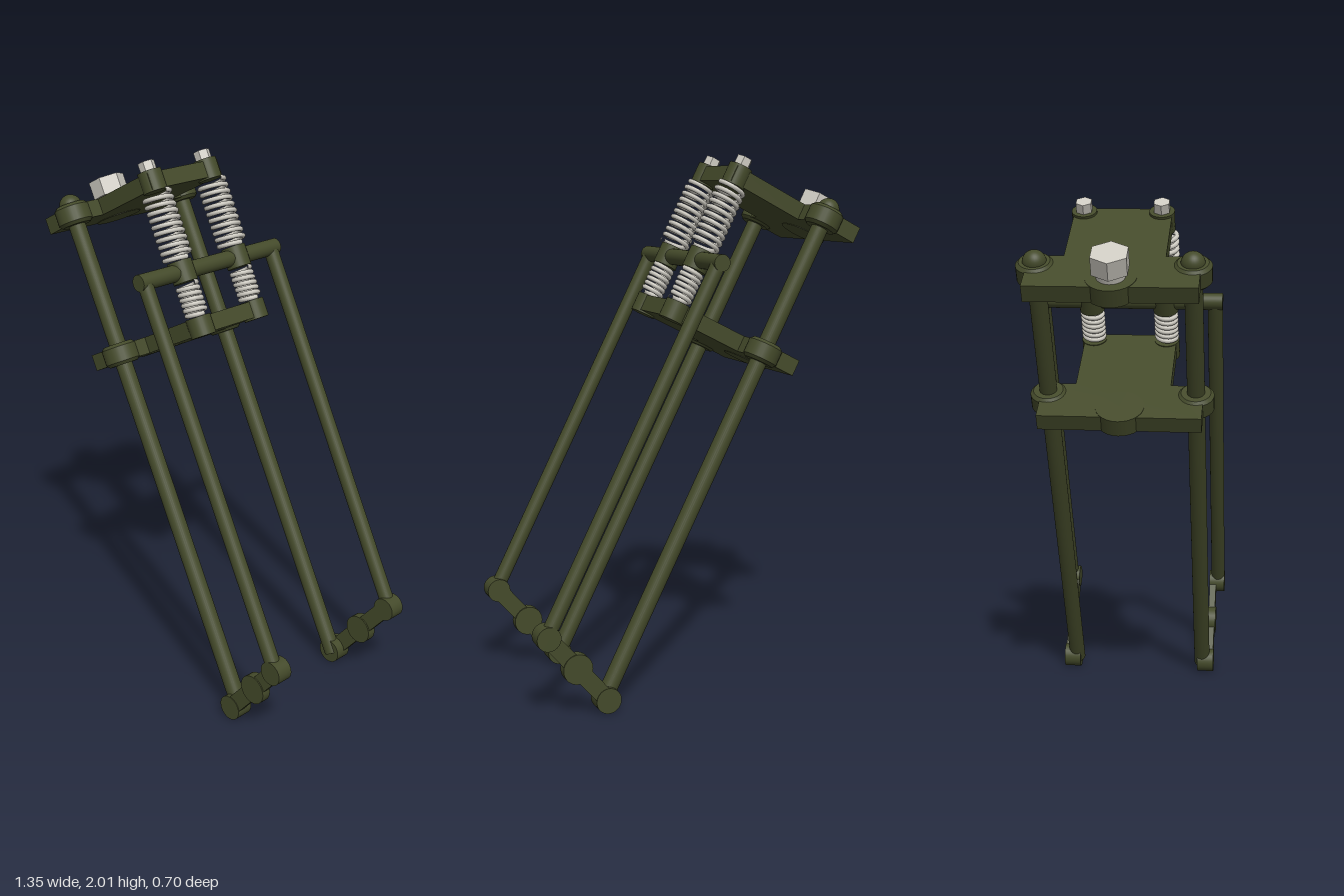
import * as THREE from 'three';

const olive = new THREE.MeshStandardMaterial({ color: 0x444a2a });
olive.name = 'olive paint';
const steel = new THREE.MeshStandardMaterial({ color: 0xcdcac1 });
steel.name = 'bright steel';

// Layout in the fork's own upright frame, before it is raked back
const RAKE = THREE.MathUtils.degToRad(27);
const LEG_Z = 0.268, ROD_Z = 0.322, ROD_X = 0.335, ROD_Y = 0.139;
const SPRING_Z = 0.138, STEM_X = -0.08, BAR_Y = 1.603;
const PLATE = 0.062, TOP_Y = 1.911, LOW_Y = 1.365;

function add(parent, name, geometry, material, x = 0, y = 0, z = 0) {
  const mesh = new THREE.Mesh(geometry, material);
  mesh.name = name;
  mesh.position.set(x, y, z);
  parent.add(mesh);
  return mesh;
}

// Upright cylinder between two heights
function post(parent, name, r, y0, y1, x, z, material = olive, sides = 28) {
  return add(parent, name, new THREE.CylinderGeometry(r, r, y1 - y0, sides), material, x, (y0 + y1) / 2, z);
}

// Cylinder lying along z
function pin(parent, name, r, z0, z1, x, y) {
  const geometry = new THREE.CylinderGeometry(r, r, Math.abs(z1 - z0), 28).rotateX(Math.PI / 2);
  return add(parent, name, geometry, olive, x, y, (z0 + z1) / 2);
}

// Hexagonal bolt head with corners towards +x and -x
function hexBolt(parent, name, r, y0, y1, x, z) {
  const geometry = new THREE.CylinderGeometry(r, r, y1 - y0, 6).rotateY(Math.PI / 6).toNonIndexed();
  geometry.computeVertexNormals();
  add(parent, name, geometry, steel, x, (y0 + y1) / 2, z).rotation.y = Math.PI / 3;
}

// T-shaped clamp plate
function plateGeometry() {
  const right = [[-0.141, 0.295], [0.05, 0.295], [0.05, 0.174], [0.364, 0.174]];
  const left = right.map(([x, z]) => [x, -z]).reverse();
  const shape = new THREE.Shape([...right, ...left].map(([x, z]) => new THREE.Vector2(x, z)));
  return new THREE.ExtrudeGeometry(shape, { depth: PLATE, bevelEnabled: false }).rotateX(-Math.PI / 2);
}

// Bevelled collar around a leg
function collarGeometry() {
  const h = 0.04, r = 0.066, b = 0.012;
  const profile = [[0, -h], [r - b, -h], [r - b, -h], [r, b - h], [r, b - h], [r, h - b], [r, h - b], [r - b, h], [r - b, h], [0, h]];
  return new THREE.LatheGeometry(profile.map(([x, y]) => new THREE.Vector2(x, y)), 28);
}

class Helix extends THREE.Curve {
  constructor(radius, height, turns) {
    super();
    Object.assign(this, { radius, height, turns });
  }
  getPoint(t, target = new THREE.Vector3()) {
    const a = t * this.turns * Math.PI * 2;
    return target.set(Math.cos(a) * this.radius, t * this.height, Math.sin(a) * this.radius);
  }
}

function spring(parent, name, outer, y0, y1, turns, z) {
  const wire = 0.009;
  const helix = new Helix(outer - wire, y1 - y0 - 2 * wire, turns);
  add(parent, name, new THREE.TubeGeometry(helix, turns * 24, wire, 8), steel, ROD_X, y0 + wire, z);
}

export function createModel() {
  const model = new THREE.Group();
  model.name = 'springFork';
  const fork = new THREE.Group();
  fork.name = 'rakedFork';
  fork.position.set(0.39, 0.05, 0);
  fork.rotation.z = RAKE;
  model.add(fork);

  // Clamp plates with their steering stem discs
  for (const [name, y] of [['topPlate', TOP_Y], ['lowerPlate', LOW_Y]]) {
    add(fork, name, plateGeometry(), olive, 0, y, 0);
    post(fork, name + 'StemDisc', 0.088, y - 0.002, y + PLATE + 0.002, STEM_X, 0);
  }
  post(fork, 'stemWasher', 0.05, 1.97, 2.002, STEM_X, 0, steel);
  hexBolt(fork, 'stemBolt', 0.07, 2.0, 2.068, STEM_X, 0);

  // Cross bar joining the sprung rods
  pin(fork, 'crossBar', 0.031, -0.35, 0.35, ROD_X, BAR_Y);

  for (const s of [1, -1]) {
    const side = new THREE.Group();
    side.name = s > 0 ? 'leftSide' : 'rightSide';
    fork.add(side);

    // Rigid leg, collars and domed cap
    const legZ = s * LEG_Z;
    post(side, 'leg', 0.032, -0.01, 1.98, 0, legZ);
    for (const y of [TOP_Y, LOW_Y]) add(side, 'legCollar', collarGeometry(), olive, 0, y + PLATE / 2, legZ);
    const dome = new THREE.SphereGeometry(0.042, 24, 10, 0, Math.PI * 2, 0, Math.PI / 2);
    add(side, 'legCap', dome, olive, 0, 1.978, legZ);

    // Sprung rod
    post(side, 'sprungRod', 0.028, ROD_Y, BAR_Y, ROD_X, s * ROD_Z);

    // Bottom link with its three eyes
    const length = Math.hypot(ROD_X, ROD_Y);
    const link = add(side, 'link', new THREE.BoxGeometry(length, 0.064, 0.027), olive, ROD_X / 2, ROD_Y / 2, s * 0.301);
    link.rotation.z = Math.atan2(ROD_Y, ROD_X);
    pin(side, 'legEye', 0.048, s * 0.25, s * 0.317, 0, 0);
    pin(side, 'axleEye', 0.056, s * 0.282, s * 0.319, ROD_X / 2, ROD_Y / 2);
    pin(side, 'rodEye', 0.045, s * 0.286, s * 0.35, ROD_X, ROD_Y);

    // Springs, their seats and the bolt on top
    const z = s * SPRING_Z;
    post(side, 'topSpringSeat', 0.045, 1.905, 1.982, ROD_X, z);
    post(side, 'barSpringSeat', 0.046, 1.562, 1.642, ROD_X, z);
    post(side, 'lowerSpringSeat', 0.047, 1.358, 1.43, ROD_X, z);
    spring(side, 'upperSpring', 0.059, 1.64, 1.908, 10, z);
    spring(side, 'lowerSpring', 0.046, 1.428, 1.564, 6, z);
    hexBolt(side, 'springBolt', 0.031, 1.98, 2.018, ROD_X, z);
  }
  return model;
}
